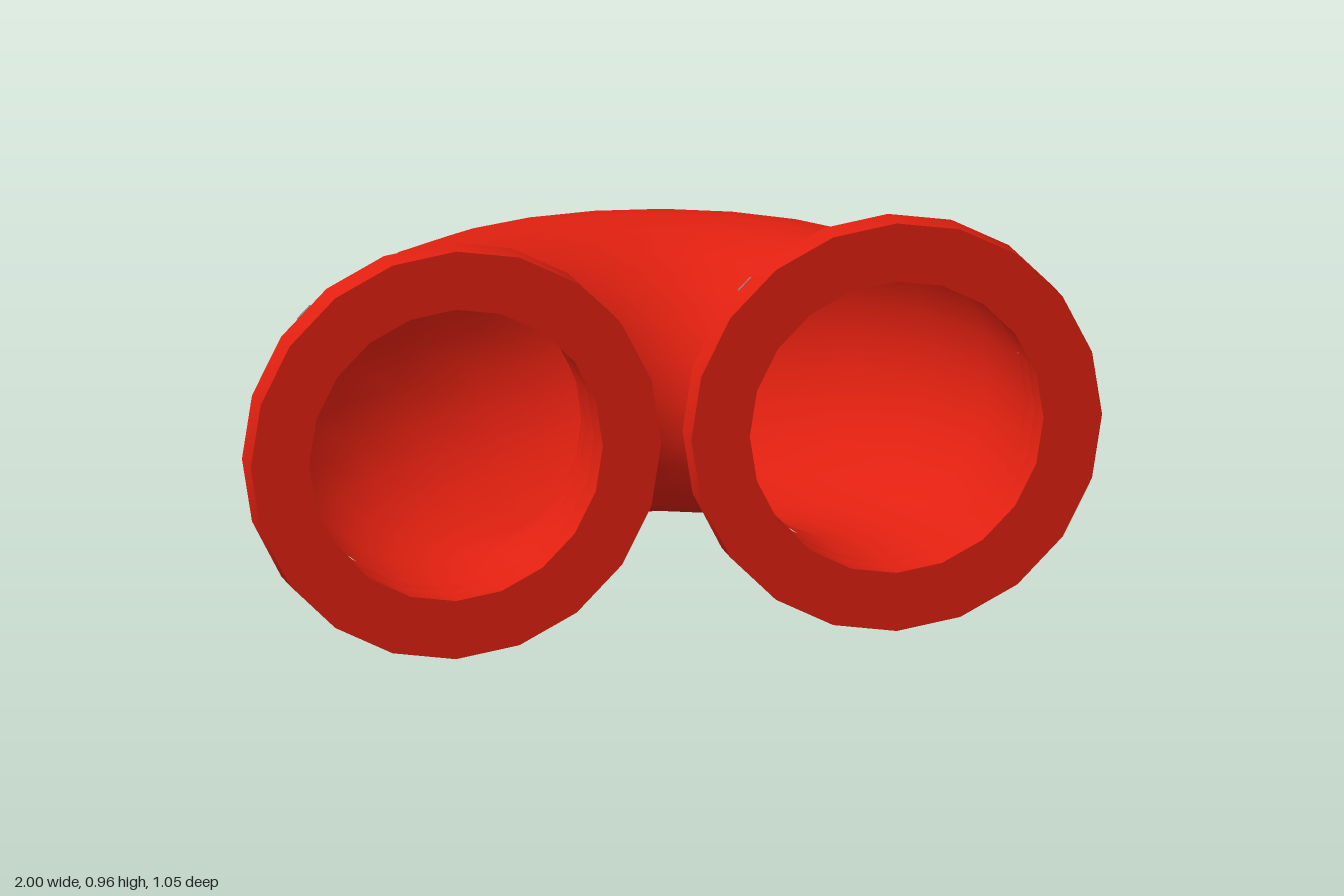
import * as THREE from 'three';
import { toCreasedNormals } from 'three/addons/utils/BufferGeometryUtils.js';

const CENTER_Y = 0.4825;  // height of the pipe axis
const BEND_R = 0.5175;    // radius of the U-bend
const PIPE_R = 0.345;
const BEND_Z = 0.335;     // where the bend meets the straight ends

const red = new THREE.MeshStandardMaterial({ color: 0xe02010 });
const redOpen = new THREE.MeshStandardMaterial({ color: 0xe02010, side: THREE.DoubleSide });
const steel = new THREE.MeshStandardMaterial({ color: 0x808080, flatShading: true });

function addMesh(parent, name, geometry, material) {
  const mesh = new THREE.Mesh(geometry, material);
  mesh.name = name;
  parent.add(mesh);
  return mesh;
}

// Points of a regular polygon with a corner at the top
function polygon(radius, sides) {
  return Array.from({ length: sides }, (_, i) => {
    const a = (i / sides) * Math.PI * 2;
    return new THREE.Vector2(Math.cos(a) * radius, Math.sin(a) * radius);
  });
}

// Flat ring with a bore, from zBack to zFront
function ring(outer, inner, zBack, zFront) {
  const shape = new THREE.Shape(polygon(outer, 20));
  shape.holes.push(new THREE.Path(polygon(inner, 20)));
  const geo = new THREE.ExtrudeGeometry(shape, { depth: zFront - zBack, bevelEnabled: false });
  geo.translate(0, 0, zBack);
  return toCreasedNormals(geo, 0.5);
}

// Hexagonal bolt head with a small chamfer, pointing to the back
function boltHead() {
  const profile = [[0.041, 0], [0.041, 0.03], [0.035, 0.037], [0, 0.037]];
  const geo = new THREE.LatheGeometry(profile.map(([x, y]) => new THREE.Vector2(x, y)), 6);
  return geo.rotateX(-Math.PI / 2);
}

function pipeEnd(name, x) {
  const end = new THREE.Group();
  end.name = name;
  end.position.set(x, CENTER_Y, 0);

  addMesh(end, 'flange', ring(0.4825, PIPE_R, 0.44, 0.525), red);
  addMesh(end, 'collar', ring(0.38, PIPE_R, 0.352, 0.44), red);

  // Short straight length joining the bend to the collar
  const sleeve = new THREE.CylinderGeometry(PIPE_R, PIPE_R, 0.03, 24, 1, true);
  sleeve.rotateX(Math.PI / 2).translate(0, 0, BEND_Z + 0.015);
  addMesh(end, 'sleeve', sleeve, redOpen);

  // Eight bolts around the back of the flange
  const head = boltHead();
  for (let i = 0; i < 8; i++) {
    const a = (i / 8) * Math.PI * 2;
    const bolt = addMesh(end, 'bolt', head, steel);
    bolt.position.set(Math.cos(a) * 0.433, Math.sin(a) * 0.433, 0.44);
    bolt.rotation.z = a;
  }
  return end;
}

export function createModel() {
  const model = new THREE.Group();
  model.name = 'pipeBend';

  // Half-circle bend lying flat, open at both ends
  const bend = new THREE.TorusGeometry(BEND_R, PIPE_R, 24, 12, Math.PI);
  bend.rotateX(-Math.PI / 2).translate(0, CENTER_Y, BEND_Z);
  addMesh(model, 'bend', bend, redOpen);

  model.add(pipeEnd('leftEnd', BEND_R), pipeEnd('rightEnd', -BEND_R));
  return model;
}
